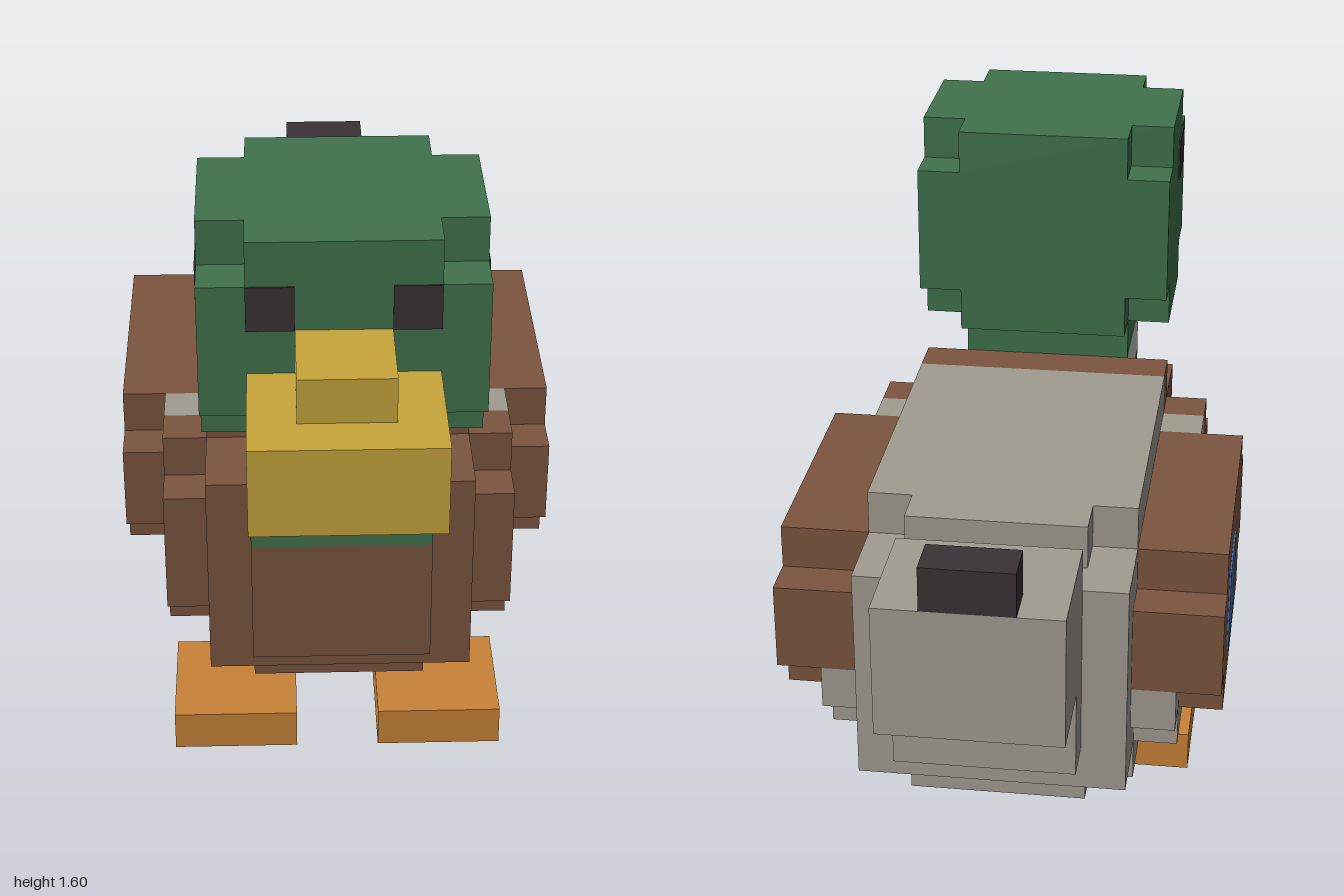
import * as THREE from 'three';

const U = 0.1; // one block

const mat = (name, color) => {
  const m = new THREE.MeshStandardMaterial({ color });
  m.name = name;
  return m;
};

export function createModel() {
  const duck = new THREE.Group();
  duck.name = 'duck';
  const green = mat('head green', 0x41734d);
  const brown = mat('breast brown', 0x7d5640);
  const grey = mat('body grey', 0xa29c92);
  const white = mat('collar white', 0xc9c5bd);
  const yellow = mat('beak yellow', 0xc8a63b);
  const orange = mat('leg orange', 0xc98339);
  const dark = mat('dark', 0x3b3335);
  const blue = mat('wing blue', 0x416cb3);

  const part = (name) => {
    const g = new THREE.Group();
    g.name = name;
    duck.add(g);
    return g;
  };
  // Box from min/max limits in block units
  const box = (parent, name, m, [x0, x1], [y0, y1], [z0, z1]) => {
    const geo = new THREE.BoxGeometry((x1 - x0) * U, (y1 - y0) * U, (z1 - z0) * U);
    const mesh = new THREE.Mesh(geo, m);
    mesh.name = name;
    mesh.position.set((x0 + x1) * U / 2, (y0 + y1) * U / 2, (z0 + z1) * U / 2);
    parent.add(mesh);
  };
  // Centred box of half width w
  const mid = (parent, name, m, w, y, z) => box(parent, name, m, [-w, w], y, z);
  // The same box on both sides
  const pair = (parent, name, m, [x0, x1], y, z) => {
    box(parent, name + 'Left', m, [x0, x1], y, z);
    box(parent, name + 'Right', m, [-x1, -x0], y, z);
  };

  // Head: a block with its eight corners cut away
  const head = part('head');
  mid(head, 'headMiddle', green, 3, [12, 15], [2, 7]);
  for (const y of [[11, 12], [15, 16]]) {
    mid(head, 'headLayer', green, 3, y, [3, 6]);
    mid(head, 'headLayerFront', green, 2, y, [6, 7]);
    mid(head, 'headLayerBack', green, 2, y, [2, 3]);
  }
  pair(head, 'eyeFront', dark, [1, 2], [14, 15], [6.98, 7.04]);
  pair(head, 'eyeSide', dark, [2.98, 3.04], [14, 15], [5, 6]);
  mid(head, 'beak', yellow, 2, [11, 13], [7, 10]);
  mid(head, 'beakTop', yellow, 1, [13, 14], [7, 9]);

  // Neck with collar
  const neck = part('neck');
  mid(neck, 'neckUpper', green, 2, [10, 11], [3, 6]);
  mid(neck, 'collar', white, 2, [9, 10], [3, 6]);
  mid(neck, 'neckLower', green, 2, [8, 9], [5, 6]);

  // Breast, stepped towards the front
  const breast = part('breast');
  mid(breast, 'breastFront', brown, 2, [5, 8], [5, 6]);
  mid(breast, 'breastMiddle', brown, 3, [4, 9], [3, 5]);
  mid(breast, 'breastBack', brown, 3, [3, 10], [2, 3]);
  mid(breast, 'breastUnder', brown, 2, [3, 4], [3, 4]);
  pair(breast, 'breastSide', brown, [3, 4], [4, 9], [2, 3]);
  pair(breast, 'breastSideFront', brown, [3, 4], [5, 8], [3, 4]);

  // Body
  const body = part('body');
  mid(body, 'bodyCore', grey, 3, [3, 10], [-5, 2]);
  mid(body, 'bodyRear', grey, 3, [4, 9], [-7, -5]);
  mid(body, 'backEnd', grey, 2, [9, 10], [-6, -5]);
  mid(body, 'bellyEnd', grey, 2, [3, 4], [-6, -5]);
  pair(body, 'shoulder', grey, [3, 4], [4, 9], [1, 2]);
  pair(body, 'flank', grey, [3, 4], [4, 5], [-5, 1]);
  pair(body, 'flankEnd', grey, [3, 4], [5, 6], [-6, -5]);

  // Tail
  const tail = part('tail');
  mid(tail, 'tailBase', grey, 2, [5, 10], [-8, -7]);
  mid(tail, 'tailEnd', grey, 2, [7, 10], [-10, -8]);
  mid(tail, 'tailCurl', dark, 1, [10, 11], [-10, -9]);

  // Wings
  const wings = part('wings');
  pair(wings, 'wing', brown, [3, 5], [5, 9], [-5, 1]);
  pair(wings, 'wingFront', brown, [4, 5], [6, 8], [1, 2]);
  pair(wings, 'wingBack', brown, [3, 5], [6, 8], [-6, -5]);
  pair(wings, 'wingPatch', blue, [4.98, 5.04], [6, 8], [-4, -2]);

  // Legs and feet
  const legs = part('legs');
  pair(legs, 'leg', orange, [2, 3], [1, 3], [0, 1]);
  pair(legs, 'foot', orange, [1, 4], [0, 1], [0, 3]);

  return duck;
}
